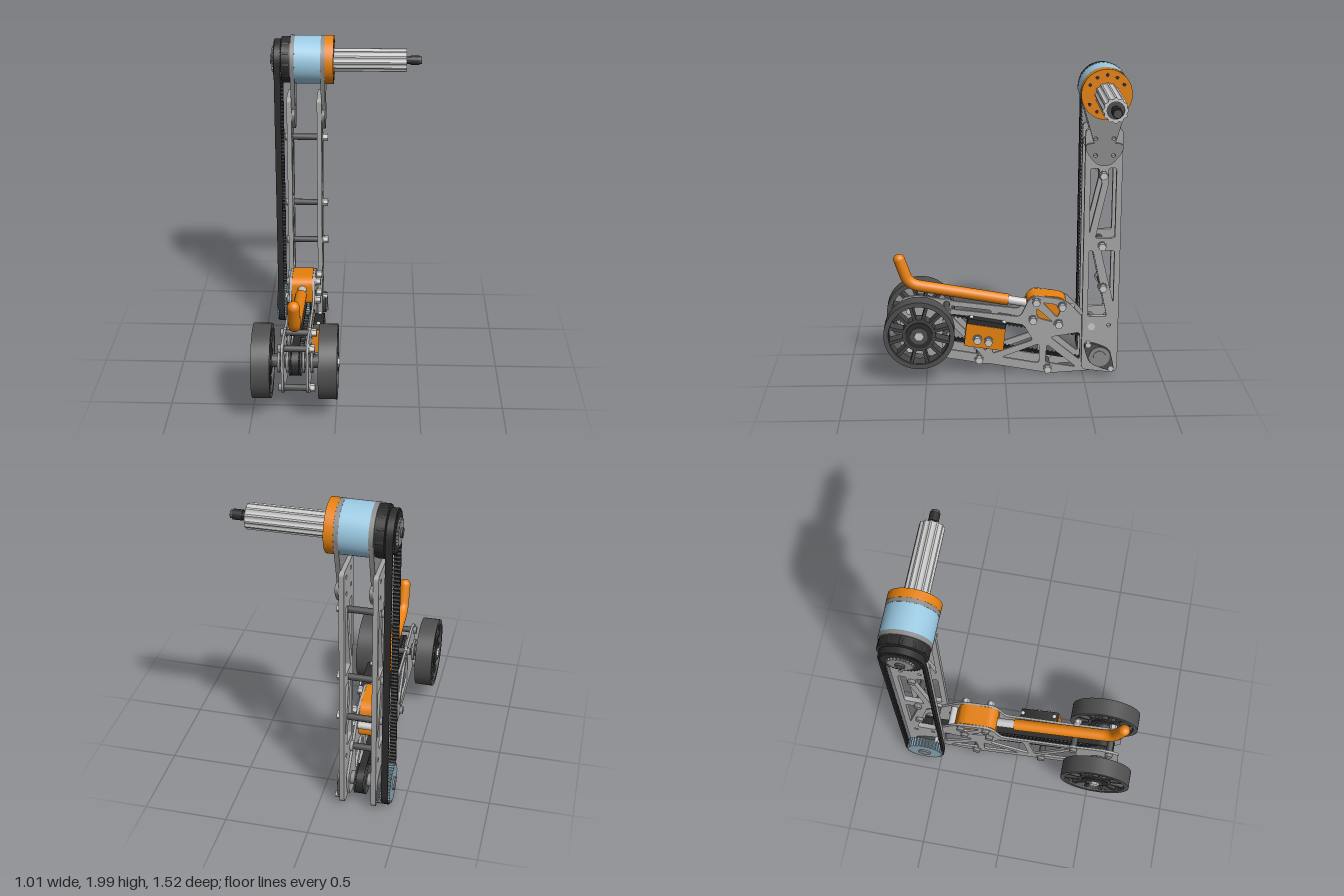
import * as THREE from 'three';
import { toCreasedNormals } from 'three/addons/utils/BufferGeometryUtils.js';

const GREY = 0xcccccc, PLATE = 0xa8a8a8, ORANGE = 0xe8820f, BLUE = 0x9ccbe4, BLACK = 0x2c2c2c, DARK = 0x505050, STEEL = 0x8d8d8d;
const MID = -0.24; // x of the machine's middle plane

// Side profiles use (u, v) = (-z, y) and are extruded along x.
export function createModel() {
  const model = new THREE.Group();
  model.name = 'wheeledArm';
  const mats = {};
  const mat = (c) => (mats[c] ??= new THREE.MeshStandardMaterial({ color: c }));
  const add = (name, geo, color, parent = model) => {
    const m = new THREE.Mesh(geo, mat(color));
    m.name = name;
    parent.add(m);
    return m;
  };
  const group = (name) => {
    const g = new THREE.Group();
    g.name = name;
    model.add(g);
    return g;
  };

  // Polygon with rounded corners, returned as points
  const rounded = (pts, r) => {
    const v = pts.map((p) => new THREE.Vector2(...p)), out = [];
    v.forEach((p, i) => {
      const a = v[(i + v.length - 1) % v.length], b = v[(i + 1) % v.length];
      const from = p.clone().lerp(a, Math.min(0.45, r / p.distanceTo(a)));
      const to = p.clone().lerp(b, Math.min(0.45, r / p.distanceTo(b)));
      out.push(...new THREE.QuadraticBezierCurve(from, p, to).getPoints(5));
    });
    return out;
  };
  const circle = (u, v, r, n = 16) => Array.from({ length: n }, (_, i) => {
    const a = (i / n) * Math.PI * 2;
    return new THREE.Vector2(u + r * Math.cos(a), v + r * Math.sin(a));
  });
  const ccw = (p) => (THREE.ShapeUtils.area(p) < 0 ? p.slice().reverse() : p);
  const slab = (name, outline, holes, x0, x1, color, parent) => {
    const shape = new THREE.Shape(ccw(outline));
    shape.holes = holes.map((h) => new THREE.Path(ccw(h).slice().reverse()));
    const geo = new THREE.ExtrudeGeometry(shape, { depth: x1 - x0, bevelEnabled: false });
    geo.rotateY(Math.PI / 2).translate(x0, 0, 0);
    return add(name, toCreasedNormals(geo, 0.6), color, parent);
  };
  const rod = (name, u, v, r, x0, x1, color, parent, sides = 32, r2 = r) => {
    const geo = new THREE.CylinderGeometry(r2, r, x1 - x0, sides).rotateZ(-Math.PI / 2).translate((x0 + x1) / 2, v, -u);
    return add(name, toCreasedNormals(geo, 0.7), color, parent);
  };

  // Closed loop round two equal circles; offset(i) gives the distance from the centre line
  const loop = (c1, c2, R, n, offset) => {
    const du = c2[0] - c1[0], dv = c2[1] - c1[1], L = Math.hypot(du, dv), a = Math.atan2(dv, du), arc = Math.PI * R;
    return Array.from({ length: n }, (_, i) => {
      const s = (i / n) * 2 * (L + arc);
      let t = 0, ang = a - Math.PI / 2;
      if (s < L) t = s;
      else if (s < L + arc) { t = L; ang += (s - L) / R; }
      else if (s < 2 * L + arc) { t = 2 * L + arc - s; ang += Math.PI; }
      else ang += Math.PI + (s - 2 * L - arc) / R;
      const o = offset(i);
      return new THREE.Vector2(c1[0] + Math.cos(a) * t + o * Math.cos(ang), c1[1] + Math.sin(a) * t + o * Math.sin(ang));
    });
  };
  const belt = (name, c1, c2, R, teeth, x0, x1) => slab(name,
    loop(c1, c2, R, teeth * 2, () => R),
    [loop(c1, c2, R, teeth * 4, (i) => R - (i % 4 < 2 ? 0.016 : 0.007))], x0, x1, BLACK);
  const cog = (name, c, r, teeth, x0, x1, color) => slab(name,
    loop(c, c, r, teeth * 4, (i) => r - (i % 4 < 2 ? 0.01 : 0)), [], x0, x1, color);
  const bolt = (u, v, left, right, parent) => {
    rod('spacer', u, v, 0.02, left, right, DARK, parent, 16);
    rod('boltHead', u, v, 0.024, left - 0.02, left, STEEL, parent, 16);
    rod('washer', u, v, 0.029, right, right + 0.008, STEEL, parent, 20);
    rod('nut', u, v, 0.025, right + 0.008, right + 0.035, GREY, parent, 6);
  };

  const TOP = [0.605, 1.85], PIVOT = [0.603, 0.143], AXLE = [-0.54, 0.344];

  // Upright truss plates
  const upright = group('upright');
  const upHoles = [
    [[0.525, 1.38], [0.575, 1.38], [0.597, 1.28], [0.525, 0.96]],
    [[0.635, 1.38], [0.685, 1.38], [0.685, 0.93], [0.562, 0.93], [0.637, 1.28]],
    [[0.525, 0.85], [0.55, 0.85], [0.645, 0.41], [0.525, 0.41]],
    [[0.6, 0.85], [0.685, 0.85], [0.685, 0.5]],
  ].map((h) => rounded(h, 0.015));
  upHoles.push(circle(0.55, 0.35, 0.013), circle(0.66, 0.35, 0.013));
  const boltHoles = [[0.55, 1.57], [0.66, 1.57], [0.55, 1.465], [0.66, 1.465]].map(([u, v]) => circle(u, v, 0.012));
  const upOutline = rounded([[0.49, 0.05], [0.68, 0.025], [0.72, 0.04], [0.72, 1.625], [0.49, 1.625]], 0.03);
  for (const x of [-0.345, -0.155]) slab('uprightPlate', upOutline, [...upHoles, ...boltHoles], x, x + 0.03, PLATE, upright);
  for (const [u, v] of [[0.605, 1.335], [0.605, 0.88], [0.617, 0.605]]) {
    bolt(u, v, -0.345, -0.125, upright);
    for (const x of [-0.344, -0.154]) rod('boss', u, v, 0.032, x, x + 0.028, PLATE, upright);
  }

  // Gusset plates that carry the motor
  const arc = Array.from({ length: 33 }, (_, i) => {
    const a = -0.1 + (i / 32) * (Math.PI + 0.2);
    return new THREE.Vector2(TOP[0] + 0.152 * Math.cos(a), TOP[1] + 0.152 * Math.sin(a));
  });
  const chin = rounded([[0.49, 1.54], [0.49, 1.49], [0.56, 1.4], [0.65, 1.4], [0.72, 1.49], [0.72, 1.54]], 0.05);
  for (const x of [-0.32, -0.13]) slab('gussetPlate', [...arc, ...chin], boltHoles, x, x + 0.027, STEEL, upright);

  // Motor drum, flange and splined shaft
  const motor = group('motor');
  rod('motorDrum', ...TOP, 0.151, -0.295, -0.13, BLUE, motor, 48);
  rod('motorFlange', ...TOP, 0.153, -0.104, -0.05, ORANGE, motor, 48);
  rod('motorBackCap', ...TOP, 0.145, -0.375, -0.32, BLACK, motor, 48);
  for (let i = 0; i < 12; i++) {
    const a = (i / 12) * Math.PI * 2 + Math.PI / 2;
    if (i % 6 !== 3) rod('flangeScrew', TOP[0] + 0.118 * Math.cos(a), TOP[1] + 0.118 * Math.sin(a), 0.011, -0.06, -0.047, BLACK, motor, 12);
    rod('capScrew', TOP[0] + 0.134 * Math.cos(a), TOP[1] + 0.134 * Math.sin(a), 0.014, -0.37, -0.33, BLACK, motor, 12);
  }
  const spline = Array.from({ length: 48 }, (_, i) => {
    const a = ((i - 0.5) / 48) * Math.PI * 2, r = i % 4 < 2 ? 0.074 : 0.066;
    return new THREE.Vector2(TOP[0] + r * Math.cos(a), TOP[1] + r * Math.sin(a));
  });
  slab('splinedShaft', spline, [circle(...TOP, 0.05, 24)], -0.05, 0.405, GREY, motor);
  rod('shaftCore', ...TOP, 0.052, -0.05, 0.39, DARK, motor);
  rod('shaftNeck', ...TOP, 0.024, 0.39, 0.44, BLACK, motor);
  rod('shaftTip', ...TOP, 0.03, 0.43, 0.485, BLACK, motor);
  rod('shaftEnd', ...TOP, 0.024, 0.485, 0.5, DARK, motor);

  // Vertical belt drive
  belt('uprightBelt', TOP, PIVOT, 0.129, 170, -0.42, -0.38);
  cog('topPulley', TOP, 0.121, 34, -0.425, -0.375, BLACK);
  cog('topPulleyHub', TOP, 0.08, 22, -0.438, -0.425, STEEL);
  rod('topPulleyNut', ...TOP, 0.028, -0.45, -0.435, DARK);
  cog('bottomPulley', PIVOT, 0.121, 34, -0.43, -0.37, 0x8aa5b4);
  rod('pivotShaft', ...PIVOT, 0.04, -0.44, -0.095, STEEL);

  // Bearing flanges at the pivot
  const flange = rounded([[0.5, 0.235], [0.56, 0.235], [0.67, 0.19], [0.69, 0.1], [0.7, 0.045], [0.645, 0.05], [0.54, 0.095], [0.515, 0.16]], 0.05);
  for (const [x0, x1] of [[-0.125, -0.105], [-0.365, -0.345]]) {
    slab('bearingFlange', flange, [], x0, x1, DARK);
    rod('bearingRing', ...PIVOT, 0.066, x0 - 0.006, x1 + 0.006, STEEL);
    for (const [u, v] of [[0.53, 0.225], [0.677, 0.062]]) rod('flangeBolt', u, v, 0.02, x0 - 0.012, x1 + 0.012, GREY, model, 6);
  }

  // Lower arm truss plates
  const arm = group('lowerArm');
  const armOutline = rounded([[-0.67, 0.22], [-0.61, 0.165], [-0.2, 0.095], [-0.16, 0.08], [-0.12, 0.085], [0.24, 0.02], [0.28, 0.01], [0.6, 0.03],
    [0.66, 0.06], [0.68, 0.2], [0.51, 0.38], [0.41, 0.49], [0.36, 0.515], [0.19, 0.543], [0.15, 0.51], [0.1, 0.4], [-0.32, 0.455], [-0.56, 0.5], [-0.66, 0.48]], 0.03);
  const armHoles = [
    [[-0.4, 0.19], [-0.15, 0.145], [-0.39, 0.41]],
    [[-0.35, 0.425], [-0.12, 0.165], [-0.08, 0.39]],
    [[-0.08, 0.15], [0.18, 0.24], [0.12, 0.345], [-0.045, 0.375]],
    [[-0.02, 0.125], [0.22, 0.08], [0.22, 0.215]],
    [[0.26, 0.085], [0.46, 0.05], [0.27, 0.21]],
    [[0.48, 0.1], [0.48, 0.29], [0.29, 0.26]],
    [[0.2, 0.46], [0.21, 0.39], [0.31, 0.36]],
    [[0.24, 0.495], [0.335, 0.39], [0.355, 0.44], [0.33, 0.48]],
  ].map((h) => rounded(h, 0.02));
  for (const x of [-0.32, -0.173]) slab('armPlate', armOutline, armHoles, x, x + 0.015, PLATE, arm);
  const armBolts = [[-0.603, 0.2], [-0.6, 0.46], [-0.37, 0.44], [-0.164, 0.115], [0.275, 0.045], [0.18, 0.38], [0.2, 0.5], [0.365, 0.47], [0.344, 0.35], [0.55, 0.34]];
  for (const [u, v] of armBolts) {
    bolt(u, v, -0.32, -0.158, arm);
    for (const x of [-0.3215, -0.1745]) rod('boss', u, v, 0.032, x, x + 0.018, PLATE, arm);
  }

  // Arm belt drive
  belt('armBelt', AXLE, PIVOT, 0.088, 112, -0.262, -0.218);
  cog('frontPulley', AXLE, 0.08, 24, -0.265, -0.215, BLACK);
  cog('rearPulley', PIVOT, 0.08, 24, -0.265, -0.215, BLUE);
  for (const c of [AXLE, PIVOT]) for (const x of [-0.275, -0.213]) rod('pulleyRim', ...c, 0.09, x, x + 0.008, DARK);

  // Orange block between the arm plates
  slab('clampBlock', rounded([[0.14, 0.37], [0.25, 0.33], [0.4, 0.31], [0.425, 0.34], [0.39, 0.5], [0.35, 0.525], [0.18, 0.54], [0.14, 0.51]], 0.025), [], -0.304, -0.174, ORANGE);

  // Bent handle and its rod
  const P = (u, v) => new THREE.Vector3(MID, v, -u);
  const tube = (name, path, r, color) => add(name, new THREE.TubeGeometry(path, 40, r, 20), color);
  const bend = new THREE.CurvePath();
  bend.add(new THREE.LineCurve3(P(0.025, 0.487), P(-0.54, 0.588)));
  bend.add(new THREE.QuadraticBezierCurve3(P(-0.54, 0.588), P(-0.607, 0.6), P(-0.627, 0.655)));
  bend.add(new THREE.LineCurve3(P(-0.627, 0.655), P(-0.665, 0.765)));
  tube('handle', bend, 0.037, ORANGE);
  add('handleTip', new THREE.SphereGeometry(0.037, 20, 14), ORANGE).position.copy(P(-0.665, 0.765));
  const cap = add('handleEnd', new THREE.CircleGeometry(0.037, 20), ORANGE);
  cap.position.copy(P(0.025, 0.487));
  cap.lookAt(P(0.59, 0.386));
  tube('handleRod', new THREE.LineCurve3(P(0.02, 0.488), P(0.19, 0.458)), 0.028, GREY);
  rod('rearPin', 0.435, 0.41, 0.022, -0.3, -0.175, GREY);

  // Switch box on the side of the arm
  const box = group('switchBox');
  slab('boxBody', rounded([[-0.243, 0.386], [0.003, 0.344], [-0.012, 0.198], [-0.26, 0.237]], 0.008), [], -0.157, -0.086, ORANGE, box);
  slab('boxLid', rounded([[-0.228, 0.418], [0.008, 0.376], [0.003, 0.344], [-0.243, 0.386]], 0.008), [], -0.15, -0.09, BLACK, box);
  for (const [u, v] of [[-0.175, 0.28], [-0.105, 0.267]]) {
    rod('boxWasher', u, v, 0.03, -0.086, -0.078, STEEL, box, 20);
    rod('boxNut', u, v, 0.025, -0.078, -0.05, GREY, box, 6);
  }
  for (const [u, v] of [[-0.212, 0.417], [-0.005, 0.38]]) add('lidScrew', new THREE.SphereGeometry(0.014, 12, 8), GREY, box).position.set(-0.12, v, -u);

  // Wheels with open spokes
  const windows = Array.from({ length: 12 }, (_, k) => {
    const c = (k / 12) * Math.PI * 2, pts = [];
    const at = (r, a) => pts.push(new THREE.Vector2(AXLE[0] + r * Math.cos(c + a), AXLE[1] + r * Math.sin(c + a)));
    for (let i = 0; i <= 4; i++) at(0.19, -0.21 + i * 0.105);
    for (let i = 0; i <= 4; i++) at(0.105, 0.17 - i * 0.085);
    return pts;
  });
  for (const [x, side] of [[-0.49, 'right'], [-0.1, 'left']]) {
    const wheel = group(side + 'Wheel');
    slab('tyre', circle(...AXLE, 0.222, 64), [circle(...AXLE, 0.192, 64)], x, x + 0.11, DARK, wheel);
    slab('spokes', circle(...AXLE, 0.2, 64), windows, x + 0.012, x + 0.098, 0x444444, wheel);
    rod('wheelHub', ...AXLE, 0.085, x + 0.004, x + 0.106, BLACK, wheel);
    rod('hubRing', ...AXLE, 0.055, x - 0.002, x + 0.112, DARK, wheel);
  }

  // Front axle with collars and end nuts
  rod('axle', ...AXLE, 0.02, -0.5, 0.015, STEEL);
  rod('axleSleeve', ...AXLE, 0.04, -0.39, -0.09, DARK);
  for (const x of [-0.345, -0.295, -0.2, -0.15]) rod('axleCollar', ...AXLE, 0.07, x, x + 0.015, STEEL);
  for (const x of [-0.506, 0.008]) rod('axleNut', ...AXLE, 0.032, x, x + 0.014, GREY, model, 6);

  return model;
}
